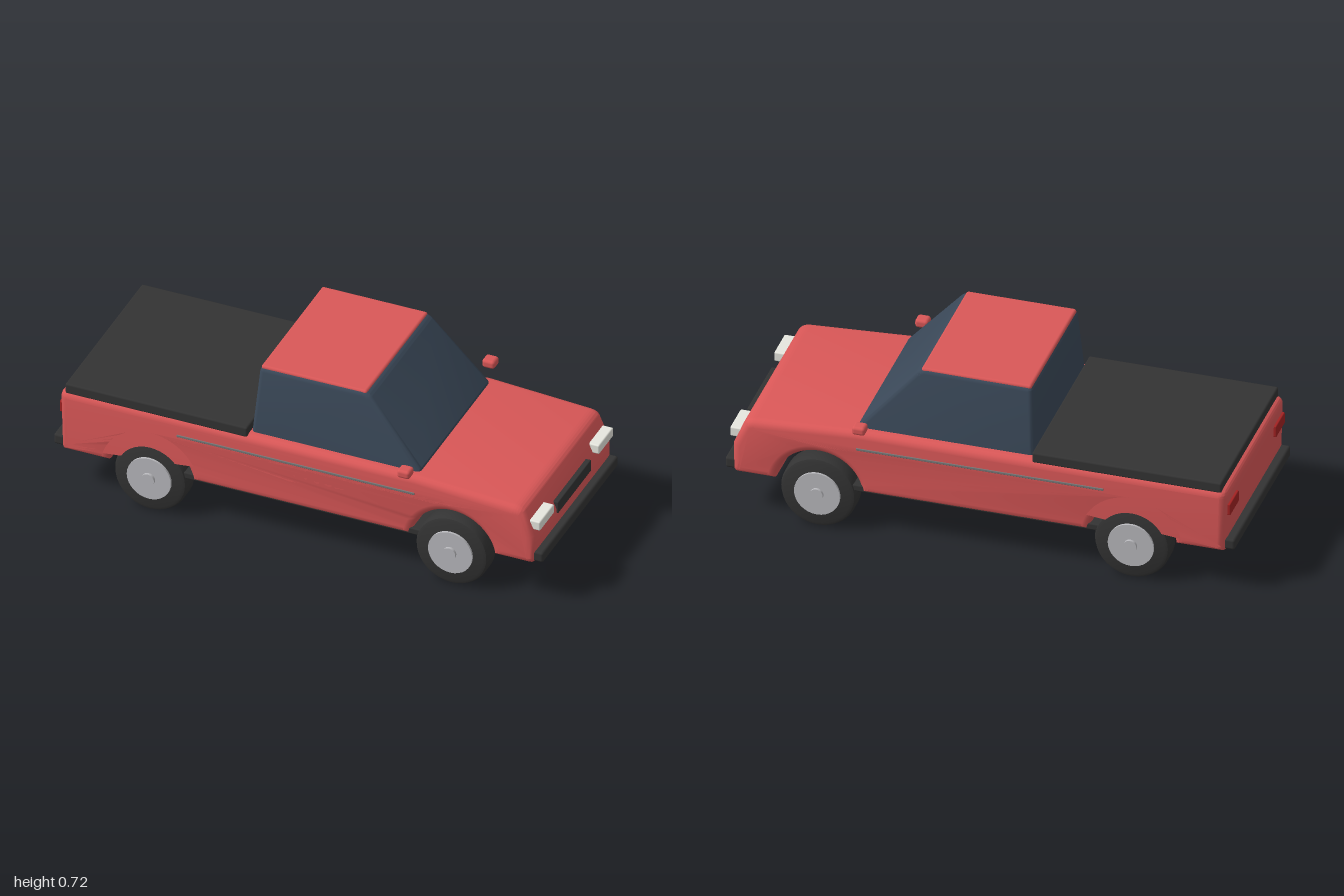
import * as THREE from 'three';
import { toCreasedNormals } from 'three/addons/utils/BufferGeometryUtils.js';
import { RoundedBoxGeometry } from 'three/addons/geometries/RoundedBoxGeometry.js';

const paint = (color) => new THREE.MeshStandardMaterial({ color });
const RED = paint(0xd95757), GLASS = paint(0x3a4858), DARK = paint(0x333333);
const METAL = paint(0xb8b8bc), LAMP = paint(0xe6e6de), TAIL = paint(0xa32222), TRIM = paint(0x777777);

export function createModel() {
  const truck = new THREE.Group();
  truck.name = 'pickupTruck';

  const add = (name, geometry, material, parent = truck) => {
    const mesh = new THREE.Mesh(geometry, material);
    mesh.name = name;
    parent.add(mesh);
    return mesh;
  };

  // Rounded block given by its limits on each axis
  const block = (name, material, [x0, x1], [y0, y1], [z0, z1], r = 0.006) => {
    const g = new RoundedBoxGeometry(x1 - x0, y1 - y0, z1 - z0, 2, r);
    return add(name, g.translate((x0 + x1) / 2, (y0 + y1) / 2, (z0 + z1) / 2), material);
  };

  // Side profile extruded across the width, with edges rounded inwards
  const slab = (shape, halfWidth, bevel) => {
    const g = new THREE.ExtrudeGeometry(shape, {
      depth: 2 * (halfWidth - bevel), curveSegments: 20,
      bevelThickness: bevel, bevelSize: bevel, bevelOffset: -bevel, bevelSegments: 4,
    });
    return g.translate(0, 0, bevel - halfWidth);
  };

  // Body with wheel arches cut right through
  const axles = [-0.6, 0.63], archR = 0.172, floorY = 0.175, axleY = 0.15;
  const dip = Math.asin((floorY - axleY) / archR);
  const body = new THREE.Shape();
  body.moveTo(-0.95, floorY);
  for (const x of axles) {
    body.lineTo(x - archR * Math.cos(dip), floorY);
    body.absarc(x, axleY, archR, Math.PI - dip, dip, true);
  }
  body.lineTo(0.945, floorY);
  body.quadraticCurveTo(0.965, floorY, 0.966, 0.2);
  body.lineTo(0.966, 0.3);
  body.lineTo(0.925, 0.395);
  body.quadraticCurveTo(0.915, 0.415, 0.88, 0.418);
  body.lineTo(0.48, 0.442);
  body.lineTo(-0.94, 0.442);
  body.quadraticCurveTo(-0.97, 0.442, -0.971, 0.41);
  body.lineTo(-0.965, 0.195);
  body.quadraticCurveTo(-0.965, floorY, -0.95, floorY);
  add('body', toCreasedNormals(slab(body, 0.37, 0.03), 0.6), RED);
  block('chassis', DARK, [-0.55, 0.55], [0.177, 0.205], [-0.362, 0.362]);

  // Cabin glass, narrowing towards the roof
  const cabin = new THREE.Shape();
  cabin.moveTo(-0.205, 0.425);
  cabin.lineTo(0.487, 0.425);
  cabin.lineTo(0.484, 0.452);
  cabin.lineTo(0.272, 0.697);
  cabin.quadraticCurveTo(0.255, 0.717, 0.225, 0.717);
  cabin.lineTo(-0.165, 0.714);
  cabin.quadraticCurveTo(-0.185, 0.714, -0.187, 0.695);
  const glass = slab(cabin, 0.33, 0.018);
  const p = glass.attributes.position;
  for (let i = 0; i < p.count; i++) p.setZ(i, p.getZ(i) * (1 - 0.4 * (p.getY(i) - 0.44)));
  add('cabinGlass', toCreasedNormals(glass, 0.6), GLASS);
  block('roof', RED, [-0.182, 0.25], [0.7, 0.721], [-0.289, 0.289], 0.01);

  // Load bed cover, bumpers and grille
  block('bedCover', DARK, [-0.95, -0.207], [0.43, 0.475], [-0.362, 0.362], 0.008);
  block('frontBumper', DARK, [0.955, 0.998], [0.185, 0.23], [-0.355, 0.355], 0.01);
  block('rearBumper', DARK, [-1, -0.955], [0.185, 0.23], [-0.355, 0.355], 0.01);
  block('grille', DARK, [0.94, 0.974], [0.28, 0.33], [-0.155, 0.155], 0.004);

  // Tyre cross-section turned about the axle
  const tyreProfile = [[0, -0.048], [0.13, -0.048], [0.142, -0.043], [0.148, -0.03],
    [0.148, 0.03], [0.142, 0.043], [0.13, 0.048], [0, 0.048]].map(([r, y]) => new THREE.Vector2(r, y));
  const tyre = toCreasedNormals(new THREE.LatheGeometry(tyreProfile, 40), 0.6).rotateX(Math.PI / 2);
  const disc = (r, depth, z) =>
    new THREE.CylinderGeometry(r, r, depth, 32).rotateX(Math.PI / 2).translate(0, 0, z);

  for (const s of [1, -1]) {
    const side = s > 0 ? 'left' : 'right';
    const span = (a, b) => (s > 0 ? [a, b] : [-b, -a]);
    block(side + 'Headlight', LAMP, [0.925, 0.982], [0.32, 0.36], span(0.21, 0.345));
    block(side + 'TailLight', TAIL, [-0.98, -0.95], [0.33, 0.378], span(0.235, 0.345), 0.004);
    block(side + 'Mirror', RED, [0.43, 0.482], [0.463, 0.498], span(0.373, 0.425), 0.012);
    block(side + 'TrimStrip', TRIM, [-0.49, 0.48], [0.364, 0.374], span(0.36, 0.373), 0.002);

    // Wheels with hub disc and cap on the outer face
    axles.forEach((x, i) => {
      const wheel = new THREE.Group();
      wheel.name = side + (i ? 'FrontWheel' : 'RearWheel');
      wheel.position.set(x, 0.15, s * 0.324);
      if (s < 0) wheel.rotation.y = Math.PI;
      add('tyre', tyre, DARK, wheel);
      add('hubDisc', disc(0.09, 0.03, 0.042), METAL, wheel);
      add('hubCap', disc(0.026, 0.03, 0.053), METAL, wheel);
      truck.add(wheel);
    });
  }
  return truck;
}
